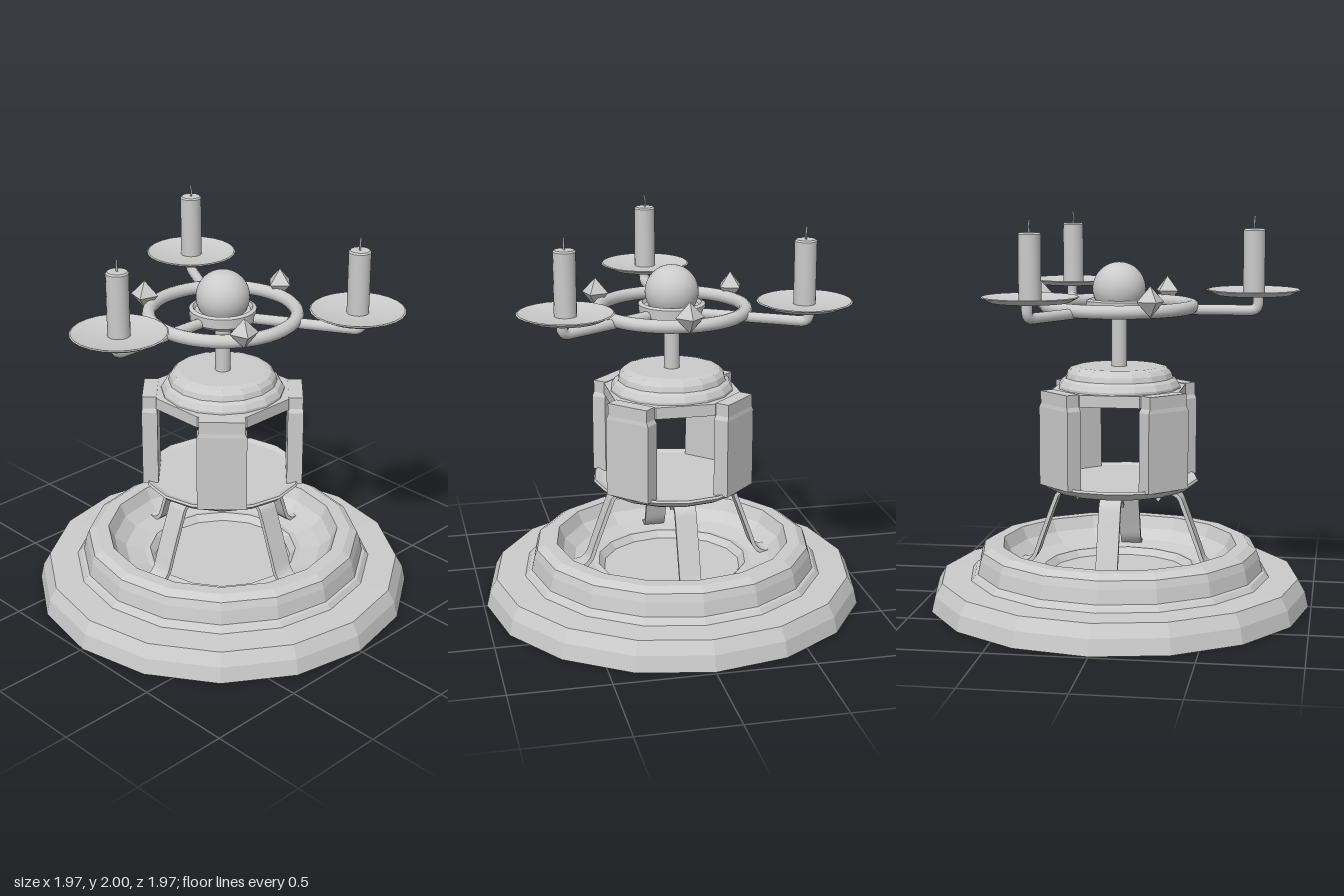
import * as THREE from 'three';
import { toCreasedNormals } from 'three/addons/utils/BufferGeometryUtils.js';

const flat = new THREE.MeshStandardMaterial({ color: 0xcccccc, flatShading: true });
const smooth = new THREE.MeshStandardMaterial({ color: 0xcccccc });

function add(parent, name, geometry, material = smooth) {
  const mesh = new THREE.Mesh(geometry, material);
  mesh.name = name;
  parent.add(mesh);
  return mesh;
}

function lathe(profile, sides) {
  return new THREE.LatheGeometry(profile.map(([r, y]) => new THREE.Vector2(r, y)), sides);
}

// Flat ribbon following a curve in the radius/height plane
function ribbon(points, thickness, width) {
  const curve = new THREE.CatmullRomCurve3(points.map(([x, y]) => new THREE.Vector3(x, y, 0)), false, 'centripetal');
  const a = [], b = [], n = 28;
  for (let i = 0; i <= n; i++) {
    const p = curve.getPoint(i / n), t = curve.getTangent(i / n), h = thickness / 2;
    a.push(new THREE.Vector2(p.x - t.y * h, p.y + t.x * h));
    b.unshift(new THREE.Vector2(p.x + t.y * h, p.y - t.x * h));
  }
  const geo = new THREE.ExtrudeGeometry(new THREE.Shape([...a, ...b]), { depth: width, bevelEnabled: false });
  geo.translate(0, 0, -width / 2);
  return toCreasedNormals(geo, 0.6);
}

// Upright post whose top steps in through a small chamfer
function postGeometry() {
  const geo = new THREE.BoxGeometry(0.08, 1, 0.25, 1, 3, 1);
  const rows = [[0.645, 1], [1.045, 1], [1.065, 0.92], [1.128, 0.92]];
  const pos = geo.attributes.position;
  for (let i = 0; i < pos.count; i++) {
    const [y, s] = rows[Math.round((pos.getY(i) + 0.5) * 3)];
    pos.setXYZ(i, pos.getX(i) * s, y, pos.getZ(i) * s);
  }
  return geo;
}

export function createModel() {
  const model = new THREE.Group();
  model.name = 'candelabra';

  // Stepped base with a sunken bowl
  add(model, 'base', lathe([
    [0, 0], [0.985, 0], [0.967, 0.08], [0.93, 0.145], [0.78, 0.15], [0.76, 0.175], [0.745, 0.18],
    [0.73, 0.25], [0.715, 0.29], [0.675, 0.315], [0.61, 0.315], [0.58, 0.25], [0.52, 0.2],
    [0.42, 0.18], [0.39, 0.185], [0.36, 0.15], [0, 0.15],
  ], 16), flat);

  // Four curled strap legs
  const legGeo = ribbon([
    [0.205, 0.545], [0.225, 0.575], [0.27, 0.588], [0.315, 0.565], [0.335, 0.52], [0.41, 0.315],
    [0.445, 0.225], [0.485, 0.195], [0.545, 0.2], [0.59, 0.235],
  ], 0.02, 0.11);
  for (let i = 0; i < 4; i++) add(model, 'leg', legGeo).rotation.y = i * Math.PI / 2;

  // Lower plate
  add(model, 'lowerPlate', lathe([
    [0, 0.605], [0.355, 0.605], [0.385, 0.62], [0.412, 0.645], [0.405, 0.656], [0.37, 0.645], [0, 0.645],
  ], 16), flat);

  // Posts on the diagonals
  const postGeo = postGeometry();
  for (let i = 0; i < 4; i++) {
    const holder = new THREE.Group();
    holder.name = 'postHolder';
    holder.rotation.y = Math.PI / 4 + i * Math.PI / 2;
    add(holder, 'post', postGeo, flat).position.x = 0.371;
    model.add(holder);
  }

  // Octagonal lid joining the posts
  const corners = [];
  for (const [sx, sy] of [[1, 1], [-1, 1], [-1, -1], [1, -1]]) {
    const pair = [[0.325 * sx, 0.15 * sy], [0.15 * sx, 0.325 * sy]];
    if (sx * sy < 0) pair.reverse();
    corners.push(...pair.map(([x, y]) => new THREE.Vector2(x, y)));
  }
  const lidGeo = new THREE.ExtrudeGeometry(new THREE.Shape(corners), { depth: 0.06, bevelEnabled: false });
  lidGeo.rotateX(-Math.PI / 2);
  add(model, 'lid', lidGeo, flat).position.y = 1.065;

  // Stepped dome
  add(model, 'dome', lathe([
    [0, 1.12], [0.315, 1.12], [0.315, 1.137], [0.298, 1.165], [0.278, 1.178], [0.27, 1.205], [0.25, 1.227],
    [0.22, 1.235], [0, 1.235],
  ], 16), flat);

  // Column, hub and ball
  add(model, 'column', new THREE.CylinderGeometry(0.04, 0.04, 0.3, 16)).position.y = 1.37;
  add(model, 'hub', toCreasedNormals(lathe([
    [0, 1.5], [0.145, 1.5], [0.168, 1.52], [0.17, 1.57], [0.15, 1.578], [0.14, 1.56], [0, 1.56],
  ], 24), 0.5));
  add(model, 'ball', new THREE.SphereGeometry(0.136, 32, 20)).position.y = 1.63;

  // Ring around the hub
  const ringGeo = new THREE.TorusGeometry(0.372, 0.034, 12, 48);
  ringGeo.rotateX(Math.PI / 2);
  add(model, 'ring', ringGeo).position.y = 1.542;

  // Arm path with a rounded elbow
  const armPath = new THREE.CurvePath();
  const v = (y, z) => new THREE.Vector3(0, y, z);
  armPath.add(new THREE.LineCurve3(v(1.528, 0.1), v(1.528, 0.665)));
  armPath.add(new THREE.QuadraticBezierCurve3(v(1.528, 0.665), v(1.528, 0.706), v(1.569, 0.706)));
  armPath.add(new THREE.LineCurve3(v(1.569, 0.706), v(1.62, 0.706)));
  const armGeo = new THREE.TubeGeometry(armPath, 64, 0.027, 12);

  const dishGeo = toCreasedNormals(lathe([
    [0, 1.608], [0.19, 1.608], [0.237, 1.632], [0.23, 1.636], [0.18, 1.621], [0, 1.618],
  ], 24), 0.45);
  const candleGeo = toCreasedNormals(lathe([
    [0, 1.612], [0.055, 1.612], [0.055, 1.93], [0.048, 1.938], [0, 1.938],
  ], 20), 0.5);
  const wickGeo = new THREE.TubeGeometry(new THREE.CatmullRomCurve3([
    new THREE.Vector3(0, 1.93, 0), new THREE.Vector3(-0.004, 1.965, 0), new THREE.Vector3(0.003, 2, 0.002),
  ]), 8, 0.005, 6);
  const gemGeo = new THREE.OctahedronGeometry(1);
  gemGeo.scale(0.072, 0.077, 0.072);

  // Three arms with dish and candle, and a gem opposite each arm
  for (let i = 0; i < 3; i++) {
    const branch = new THREE.Group();
    branch.name = 'branch';
    branch.rotation.y = i * Math.PI * 2 / 3;
    add(branch, 'arm', armGeo);
    add(branch, 'dish', dishGeo).position.z = 0.683;
    add(branch, 'candle', candleGeo).position.z = 0.683;
    add(branch, 'wick', wickGeo).position.z = 0.683;
    add(branch, 'gem', gemGeo, flat).position.set(0, 1.595, -0.41);
    model.add(branch);
  }
  return model;
}
